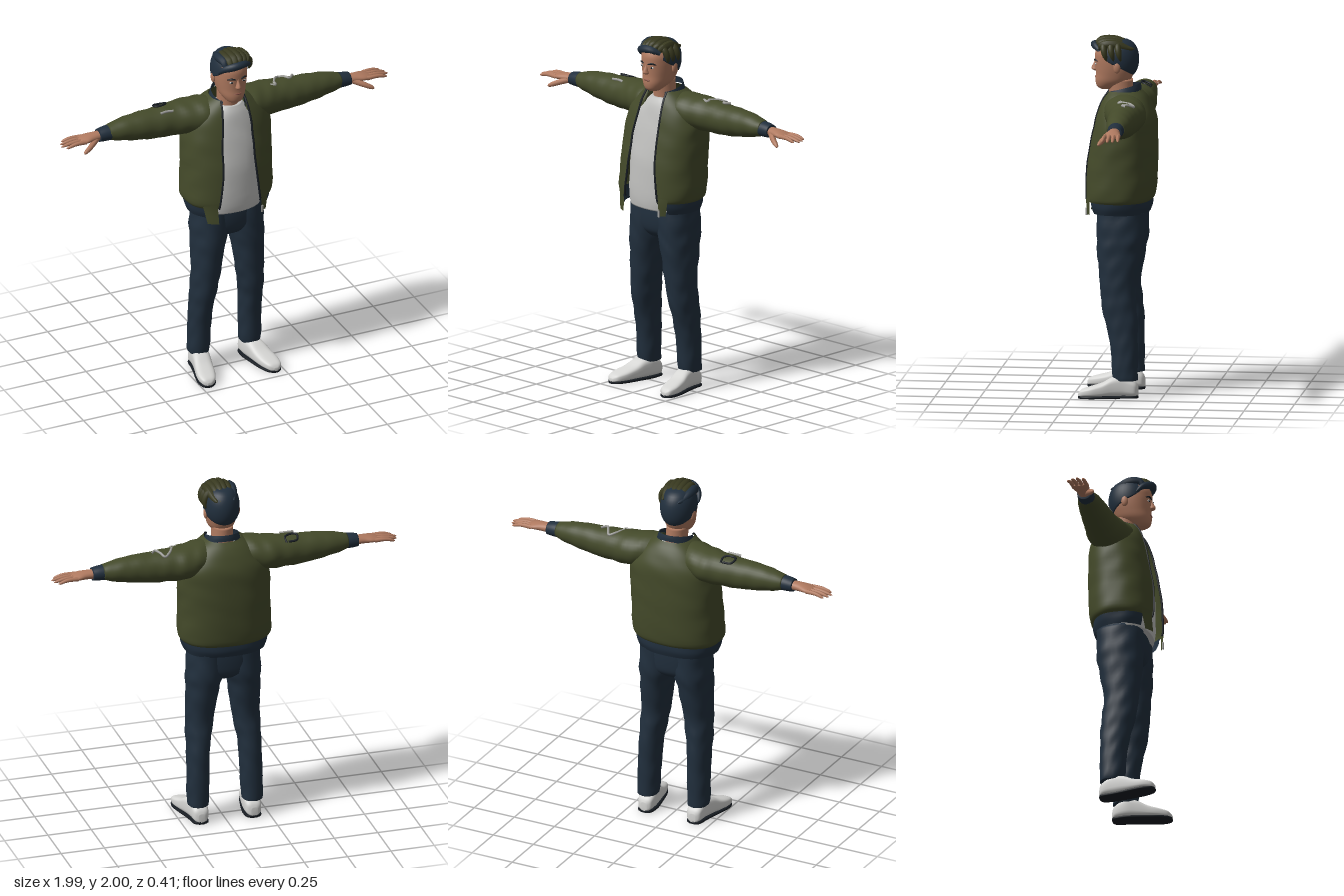
import * as THREE from 'three';

const TAU = Math.PI * 2;
const mat = (name, color, side = THREE.FrontSide) => {
  const m = new THREE.MeshStandardMaterial({ color, side });
  m.name = name;
  return m;
};
const spow = (v, p) => Math.sign(v) * Math.abs(v) ** p;

// Smooth interpolation through a list of section rows
function sample(rows, t) {
  const n = rows.length - 1, i = Math.min(Math.floor(t * n), n - 1), f = t * n - i;
  const r = k => rows[Math.max(0, Math.min(n, k))];
  return rows[i].map((_, c) => {
    const a = r(i - 1)[c], b = r(i)[c], d = r(i + 1)[c], e = r(i + 2)[c];
    const m0 = (d - a) / 2, m1 = (e - b) / 2;
    return (2 * f ** 3 - 3 * f * f + 1) * b + (f ** 3 - 2 * f * f + f) * m0
      + (3 * f * f - 2 * f ** 3) * d + (f ** 3 - f * f) * m1;
  });
}

// Skin over section rows; place(row, u, t) gives a point for u from 0 to 1
function loft(rows, place, { seg = 32, steps = 5, open = false } = {}) {
  const n = (rows.length - 1) * steps, w = open ? seg + 1 : seg, pos = [], idx = [];
  for (let i = 0; i <= n; i++) {
    const row = sample(rows, i / n);
    for (let j = 0; j < w; j++) pos.push(...place(row, j / seg, i / n));
  }
  for (let i = 0; i < n; i++) for (let j = 0; j < seg; j++) {
    const a = i * w + j, b = i * w + (j + 1) % w;
    idx.push(a, b, b + w, a, b + w, a + w);
  }
  if (!open) for (const i of [0, n]) {
    const c = [0, 0, 0];
    for (let j = 0; j < w; j++) for (let k = 0; k < 3; k++) c[k] += pos[(i * w + j) * 3 + k] / w;
    const ci = pos.push(...c) / 3 - 1;
    for (let j = 0; j < w; j++) {
      const a = i * w + j, b = i * w + (j + 1) % w;
      if (i === 0) idx.push(ci, b, a); else idx.push(ci, a, b);
    }
  }
  // turn faces outward by the sign of the enclosed volume
  const v = k => new THREE.Vector3(pos[k * 3], pos[k * 3 + 1], pos[k * 3 + 2]);
  const mid = new THREE.Vector3();
  for (let k = 0; k < pos.length / 3; k++) mid.addScaledVector(v(k), 3 / pos.length);
  let vol = 0;
  for (let k = 0; k < idx.length; k += 3) {
    const [a, b, c] = [0, 1, 2].map(q => v(idx[k + q]).sub(mid));
    vol += a.dot(b.cross(c));
  }
  if (vol < 0) idx.reverse();
  const g = new THREE.BufferGeometry();
  g.setAttribute('position', new THREE.Float32BufferAttribute(pos, 3));
  g.setIndex(idx);
  g.computeVertexNormals();
  return g;
}

// Tube whose radius follows a taper rule
function taperTube(points, radius, taper, n = 14, seg = 10) {
  const path = new THREE.CatmullRomCurve3(points.map(p => new THREE.Vector3(...p)));
  const g = new THREE.TubeGeometry(path, n, radius, seg), p = g.attributes.position, v = new THREE.Vector3();
  for (let i = 0; i < p.count; i++) {
    const u = Math.floor(i / (seg + 1)) / n, c = path.getPointAt(u);
    v.fromBufferAttribute(p, i).sub(c).multiplyScalar(taper(u)).add(c);
    p.setXYZ(i, v.x, v.y, v.z);
  }
  g.computeVertexNormals();
  return g;
}
const even = () => 1;
const fingerTaper = u => (1 - 0.3 * u) * Math.sqrt(Math.max(0, 1 - u ** 8));
const lockTaper = u => Math.sin(Math.PI * Math.min(1, u * 0.9 + 0.1)) ** 0.6;

// Upright section: [y, centre x, half width, front z, back z]
const ring = (p, fold = 0) => ([y, cx, rx, zf, zb], u) => {
  const a = u * TAU, k = 1 + fold * Math.sin(y * 48 + 3 * Math.sin(a * 2)) * Math.sin(a * 3 + y * 9);
  return [cx + rx * k * spow(Math.sin(a), p), y, (zf + zb) / 2 + (zf - zb) / 2 * k * spow(Math.cos(a), p)];
};
// Jacket section adds the start angle and the end gap
const panel = ([y, cx, rx, zf, zb, a0, a1], u) => {
  const r = ring(0.85, 0.008);
  return r([y, cx, rx, zf, zb], (a0 + u * (TAU - a1 - a0)) / TAU);
};

export function createModel() {
  const olive = mat('olive cloth', 0x444a2a, THREE.DoubleSide);
  const navy = mat('navy cloth', 0x212f3d, THREE.DoubleSide);
  const skin = mat('skin', 0xb07a60);
  const white = mat('shirt white', 0xc2c2c0);
  const shoeWhite = mat('shoe white', 0xd6d6d4);
  const silver = mat('silver trim', 0x9c9c98);
  const dark = mat('dark trim', 0x171c22);
  const lip = mat('lips', 0x8a5548);
  const hairTop = mat('hair brown', 0x38391f);
  const model = new THREE.Group();
  const add = (name, geo, m, parent = model) => {
    const o = new THREE.Mesh(geo, m);
    o.name = name;
    parent.add(o);
    return o;
  };
  const blob = (name, m, at, size) => {
    const o = add(name, new THREE.SphereGeometry(1, 20, 14), m);
    o.position.set(...at);
    o.scale.set(...size);
  };

  // Shirt and neck
  add('shirt', loft([[1.03, -.01, .19, .145, -.12], [1.1, -.01, .2, .152, -.13], [1.3, -.005, .2, .148, -.15],
    [1.45, 0, .2, .125, -.15], [1.55, 0, .18, .105, -.14], [1.62, 0, .12, .088, -.12], [1.66, 0, .07, .068, -.07]], ring(0.9, .01)), white);
  add('neck', loft([[1.6, 0, .065, .06, -.08], [1.68, -.003, .06, .062, -.072], [1.76, -.005, .06, .07, -.07]], ring(1)), skin);

  // Jacket body, open at the front
  const body = [[1.09, -.015, .245, .185, -.175, .49, .447], [1.13, -.015, .262, .19, -.195, .43, .39],
    [1.3, -.01, .258, .18, -.205, .336, .33], [1.45, -.005, .258, .152, -.205, .295, .33], [1.55, 0, .245, .13, -.2, .29, .31],
    [1.62, 0, .2, .11, -.175, .35, .36], [1.67, 0, .145, .09, -.145, .48, .48], [1.7, 0, .1, .075, -.115, .72, .72]];
  add('jacketBody', loft(body, panel, { seg: 64, open: true }), olive);
  const band = [[1.025, -.015, .228, .165, -.165], [1.06, -.015, .24, .178, -.176], [1.1, -.015, .246, .182, -.176]];
  add('waistBand', loft(band.map(r => [...r, .72, .8]), panel, { seg: 48, open: true }), navy);
  const flap = (y, a, b) => [[y, -.015, .238, .196, -.17, a + .04, b], [1.12, -.015, .255, .192, -.19, a - .05, b]];
  add('leftFlap', loft(flap(1.02, .52, TAU - .75), panel, { seg: 8, open: true }), olive);
  add('rightFlap', loft(flap(1.0, TAU - .84, .48), panel, { seg: 8, open: true }), olive);
  for (const u of [0, 1]) {
    const edge = [];
    for (let i = 0; i <= 14; i++) edge.push(panel(sample(body, i / 14), u));
    add(u ? 'rightZip' : 'leftZip', taperTube(edge, .006, even, 40, 6), dark);
  }
  add('zipPull', new THREE.BoxGeometry(.012, .04, .008), silver).position.set(.125, 1.035, .172);

  // Collar, higher at the back
  add('collar', loft([[1.66, .105, .105, .045], [1.69, .098, .104, .033], [1.715, .09, .1, .025]], ([y, rx, rz, tilt], u) => {
    const a = .75 + u * (TAU - 1.5);
    return [rx * Math.sin(a), y - tilt * Math.cos(a), -.012 + rz * Math.cos(a)];
  }, { open: true }), navy);

  // Arms and hands, mirrored
  for (const s of [1, -1]) {
    const side = s > 0 ? 'left' : 'right';
    const arm = fold => ([x, cy, cz, ry, rz], u) => {
      const a = u * TAU, k = 1 + fold * Math.sin(x * 62 + 2 * Math.sin(a)) * Math.cos(a * 2 + x * 8);
      return [s * x, cy + ry * k * Math.cos(a), cz + rz * k * Math.sin(a)];
    };
    add(side + 'Sleeve', loft([[.08, 1.6, -.03, .09, .1], [.16, 1.6, -.045, .092, .115], [.24, 1.59, -.06, .096, .113],
      [.32, 1.588, -.065, .092, .096], [.42, 1.585, -.065, .087, .085], [.55, 1.59, -.065, .075, .073],
      [.65, 1.592, -.065, .057, .06], [.705, 1.592, -.063, .042, .046]], arm(.025)), olive);
    add(side + 'Cuff', loft([[.69, 1.592, -.063, .043, .047], [.73, 1.59, -.063, .041, .044], [.765, 1.588, -.062, .036, .04]], arm(0)), navy);
    add(side + 'Palm', loft([[.75, 1.588, -.062, .026, .031], [.8, 1.588, -.06, .024, .036], [.84, 1.587, -.06, .02, .045],
      [.875, 1.584, -.06, .014, .043], [.89, 1.582, -.06, .008, .036]], arm(0)), skin);
    [[.972, -.106], [.99, -.078], [.997, -.05], [.978, -.02]].forEach(([tip, z], i) => {
      const z0 = -.096 + i * .024;
      add(side + 'Finger' + (i + 1), taperTube([[s * .855, 1.585, z0], [s * .92, 1.586, (z0 + z) / 2], [s * tip, 1.573, z]], .0125, fingerTaper), skin);
    });
    add(side + 'Thumb', taperTube([[s * .78, 1.58, -.045], [s * .83, 1.56, -.01], [s * .885, 1.535, .016]], .018, fingerTaper), skin);

    // Trouser leg and shoe
    const ox = s > 0 ? -.004 : -.008;
    const leg = [[.1, .154, .018, -.115, .056], [.14, .154, .025, -.116, .06], [.3, .15, .038, -.115, .062], [.42, .147, .065, -.114, .062],
      [.52, .139, .087, -.106, .07], [.62, .13, .096, -.098, .077], [.8, .116, .113, -.13, .09], [.9, .104, .118, -.145, .103],
      [1.04, .098, .115, -.145, .1]].map(([y, cx, zf, zb, rx]) => [y, s * cx + ox, rx, zf, zb]);
    add(side + 'TrouserLeg', loft(leg, ring(0.92, .03), { steps: 7 }), navy);
    const shoe = [[-.118, .15, .018, .06], [-.1, .15, .042, .09], [-.04, .152, .05, .122], [.02, .163, .052, .116],
      [.08, .177, .054, .085], [.14, .19, .053, .066], [.19, .198, .038, .05], [.208, .201, .012, .03]];
    add(side + 'Shoe', loft(shoe, ([z, cx, hw, h], u) => {
      const a = u * TAU, c = spow(Math.cos(a), .6);
      return [s * cx + ox + hw * spow(Math.sin(a), .7), .01 + (h - .01) * (.5 + .5 * c), z];
    }), shoeWhite);
    add(side + 'Sole', loft(shoe, ([z, cx, hw], u) => {
      const a = u * TAU;
      return [s * cx + ox + (hw + .001) * spow(Math.sin(a), .4), .008 + .008 * spow(Math.cos(a), .4), z];
    }, { seg: 20 }), dark);

    // Ear, eye and brow
    blob(side + 'Ear', skin, [s * .092 - .005, 1.835, .008], [.012, .032, .02]);
    blob(side + 'Eye', white, [s * .036 - .005, 1.846, .131], [.014, .006, .005]);
    blob(side + 'Iris', dark, [s * .036 - .005, 1.846, .134], [.006, .0055, .004]);
    add(side + 'Brow', taperTube([[s * .015 - .005, 1.863, .142], [s * .038 - .005, 1.869, .136], [s * .06 - .005, 1.862, .118]], .005, lockTaper), dark);
  }
  add('hips', loft([[.86, -.006, .13, .07, -.09], [.9, -.006, .19, .105, -.135], [.97, -.006, .2, .117, -.147], [1.06, -.006, .197, .115, -.148]], ring(0.9)), navy);

  // Sleeve trims laid on the upper arms
  const onArm = pts => pts.map(([x, z]) => [x, 1.588 + .091 * Math.sqrt(1 - ((z + .065) / .098) ** 2), z]);
  add('leftSleeveTrim', taperTube(onArm([[.3, -.05], [.33, -.1], [.36, -.12], [.38, -.09], [.4, -.06], [.43, -.085]]), .007, even, 30), silver);
  add('leftSleeveStud', taperTube(onArm([[.27, -.035], [.3, -.03], [.3, -.05]]), .009, even), silver);
  add('rightSleevePatch', taperTube(onArm([[-.34, -.13], [-.34, -.09], [-.38, -.07], [-.41, -.08], [-.4, -.12], [-.35, -.125]]), .006, even, 30), dark);
  add('rightSleeveBar', taperTube(onArm([[-.33, -.012], [-.37, -.016], [-.41, -.012]]), .007, even), silver);

  // Head and face
  add('head', loft([[1.703, .03, .11, .04], [1.718, .048, .13, .01], [1.75, .07, .138, -.05], [1.79, .081, .136, -.075],
    [1.83, .088, .138, -.09], [1.87, .091, .141, -.097], [1.91, .09, .138, -.095], [1.95, .075, .115, -.08],
    [1.975, .04, .07, -.04]].map(([y, rx, zf, zb]) => [y, -.005, rx, zf, zb]), ring(0.92)), skin);
  add('nose', loft([[1.803, .01, .145, .12], [1.812, .017, .16, .12], [1.825, .013, .159, .12], [1.85, .008, .146, .12], [1.87, .007, .14, .12]]
    .map(([y, rx, zf, zb]) => [y, -.005, rx, zf, zb]), ring(1), { seg: 16 }), skin);
  blob('mouth', lip, [-.005, 1.769, .134], [.023, .006, .007]);

  // Hair: short cap with a low nape, then swept locks on top
  add('hairCap', loft([[0], [1]], ([t], u) => {
    const a = u * TAU, c = Math.cos(a);
    const low = c > 0 ? -.22 + .78 * c ** 1.5 : -.22 + .66 * c;
    const f = low + (Math.PI / 2 - low) * t, r = Math.max(0, Math.cos(f)) ** .6;
    return [-.005 + .1 * r * Math.sin(a), 1.872 + .112 * Math.sin(f), .016 + .12 * r * c];
  }, { seg: 40, steps: 16 }), navy);
  for (let i = 0; i < 6; i++) {
    const x = -.07 + i * .027, h = 1.972 - Math.abs(x) * .25;
    add('topLock' + (i + 1), taperTube([[x * .9 - .005, 1.925 + (i % 2) * .008, .132 - x * x * 6], [x + .004, h, .115 - x * x * 5],
      [x, h + .006, .03], [x * .8, h - .018, -.05], [x * .7, 1.935, -.085]], .025, lockTaper, 18), i === 0 ? navy : hairTop);
  }
  for (let i = 0; i < 3; i++) {
    const z = .085 - i * .04;
    add('sideLock' + (i + 1), taperTube([[.03, 1.972, z], [.075, 1.955, z], [.096, 1.915, z - .008], [.093, 1.87, z - .02]], .018, lockTaper), hairTop);
  }
  add('fringe', taperTube([[.075, 1.93, .11], [.03, 1.95, .138], [-.03, 1.945, .14], [-.08, 1.92, .105], [-.098, 1.88, .07]], .022, lockTaper, 20), navy);
  return model;
}
